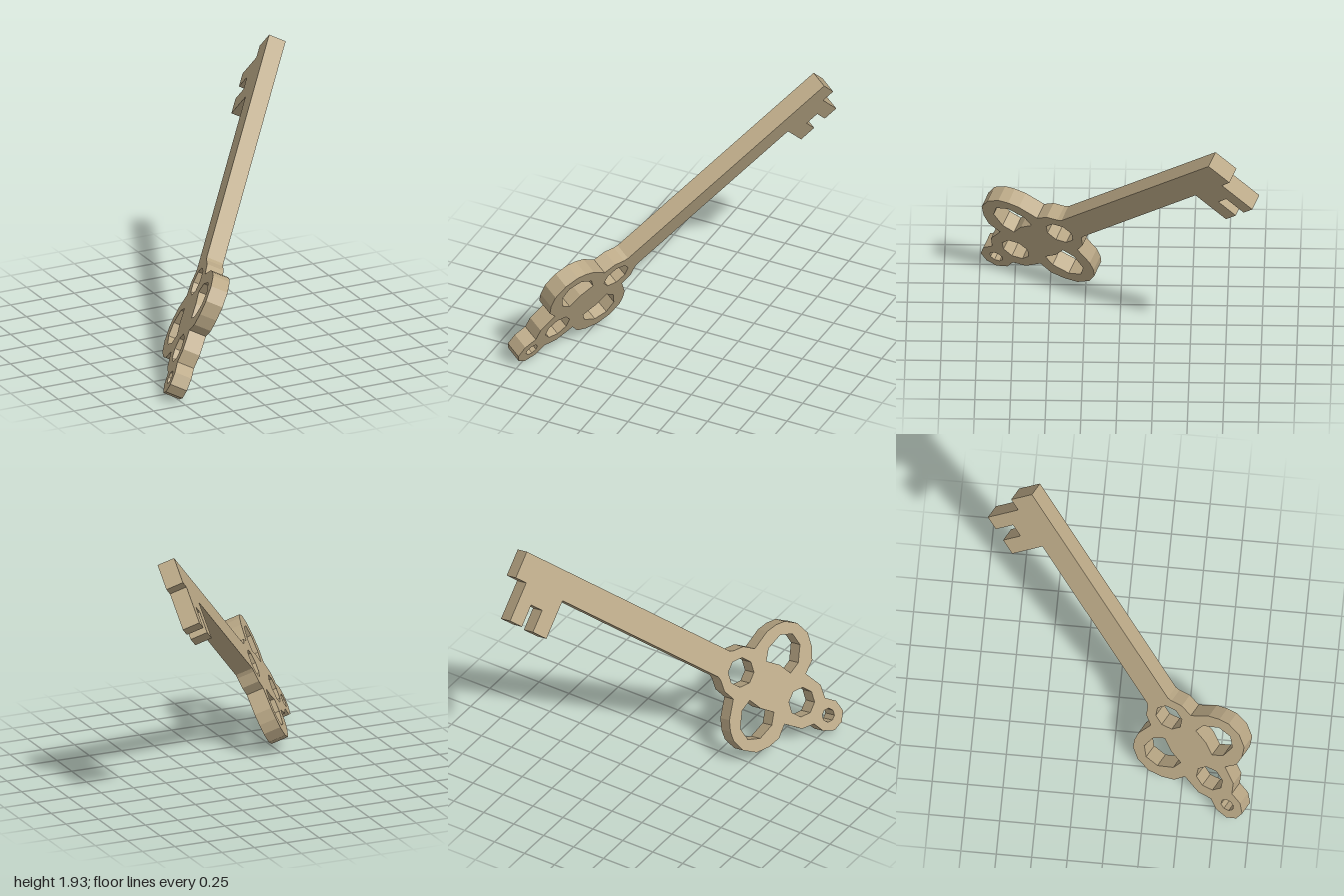
import * as THREE from 'three';

const THICKNESS = 0.127;
const BOW = -0.09; // centre of the bow along the key's length

const toVectors = (points) => points.map(([u, w]) => new THREE.Vector2(u, w));

// Regular octagonal hole centred on the key's axis
function roundHole(u, radius) {
  const points = [];
  for (let i = 0; i < 8; i++) {
    const a = ((i + 0.5) / 8) * Math.PI * 2;
    points.push([u + Math.cos(a) * radius, Math.sin(a) * radius]);
  }
  return new THREE.Path(toVectors(points));
}

// Large hole in a side lobe, its inner edge following the central disc
function lobeHole(side) {
  const half = [[0.11, 0.15], [0.135, 0.24], [0.09, 0.36]];
  const points = [
    [0, 0.168], ...half, [0, 0.405],
    ...half.map(([u, w]) => [-u, w]).reverse(),
  ];
  return new THREE.Path(toVectors(points.map(([u, w]) => [BOW + u, w * side])));
}

function keyShape() {
  // Upper half of the bow, from the end ring to the shaft
  const bow = [
    [-0.715, 0.076], [-0.632, 0.115], [-0.54, 0.1], // end ring
    [-0.465, 0.168], [-0.318, 0.193],               // rear small lobe
    [-0.322, 0.3], [-0.275, 0.385], [-0.2, 0.46], [BOW, 0.488],
    [0.01, 0.46], [0.065, 0.41], [0.11, 0.34], [0.148, 0.193], // large side lobe
    [0.24, 0.172], [0.3, 0.115], [0.33, 0.1],       // front small lobe
  ];
  // Shaft tip and the two teeth
  const bit = [
    [2.178, 0.1], [2.178, -0.1], [2.083, -0.1], [2.083, -0.392],
    [1.975, -0.392], [1.975, -0.225], [1.875, -0.225], [1.875, -0.392],
    [1.752, -0.392], [1.752, -0.1],
  ];
  const lower = bow.map(([u, w]) => [u, -w]).reverse();
  // Counter-clockwise, so that the walls of the holes face inwards
  const outline = [[-0.742, 0], ...bow, ...bit, ...lower].reverse();
  const shape = new THREE.Shape(toVectors(outline));
  shape.holes.push(
    roundHole(-0.62, 0.05), roundHole(-0.378, 0.105), roundHole(0.175, 0.105),
    lobeHole(1), lobeHole(-1),
  );
  return shape;
}

export function createModel() {
  const brass = new THREE.MeshStandardMaterial({ color: 0xbaa886 });
  brass.name = 'agedBrass';

  // Bow, shaft and teeth are one cut plate
  const geometry = new THREE.ExtrudeGeometry(keyShape(), { depth: THICKNESS, bevelEnabled: false });
  const plate = new THREE.Mesh(geometry, brass);
  plate.name = 'keyPlate';

  // Tilt the key: length, width and face directions
  const length = new THREE.Vector3(0.55, 0.609, -0.571).normalize();
  const face = new THREE.Vector3(0.838, -0.403, 0.365);
  const width = face.clone().cross(length).normalize();
  face.crossVectors(length, width);
  plate.quaternion.setFromRotationMatrix(new THREE.Matrix4().makeBasis(length, width, face));

  // Rest on the ground and centre
  const group = new THREE.Group();
  group.name = 'key';
  group.add(plate);
  const box = new THREE.Box3().setFromObject(group, true);
  const centre = box.getCenter(new THREE.Vector3());
  plate.position.set(-centre.x, -box.min.y, -centre.z);
  return group;
}
